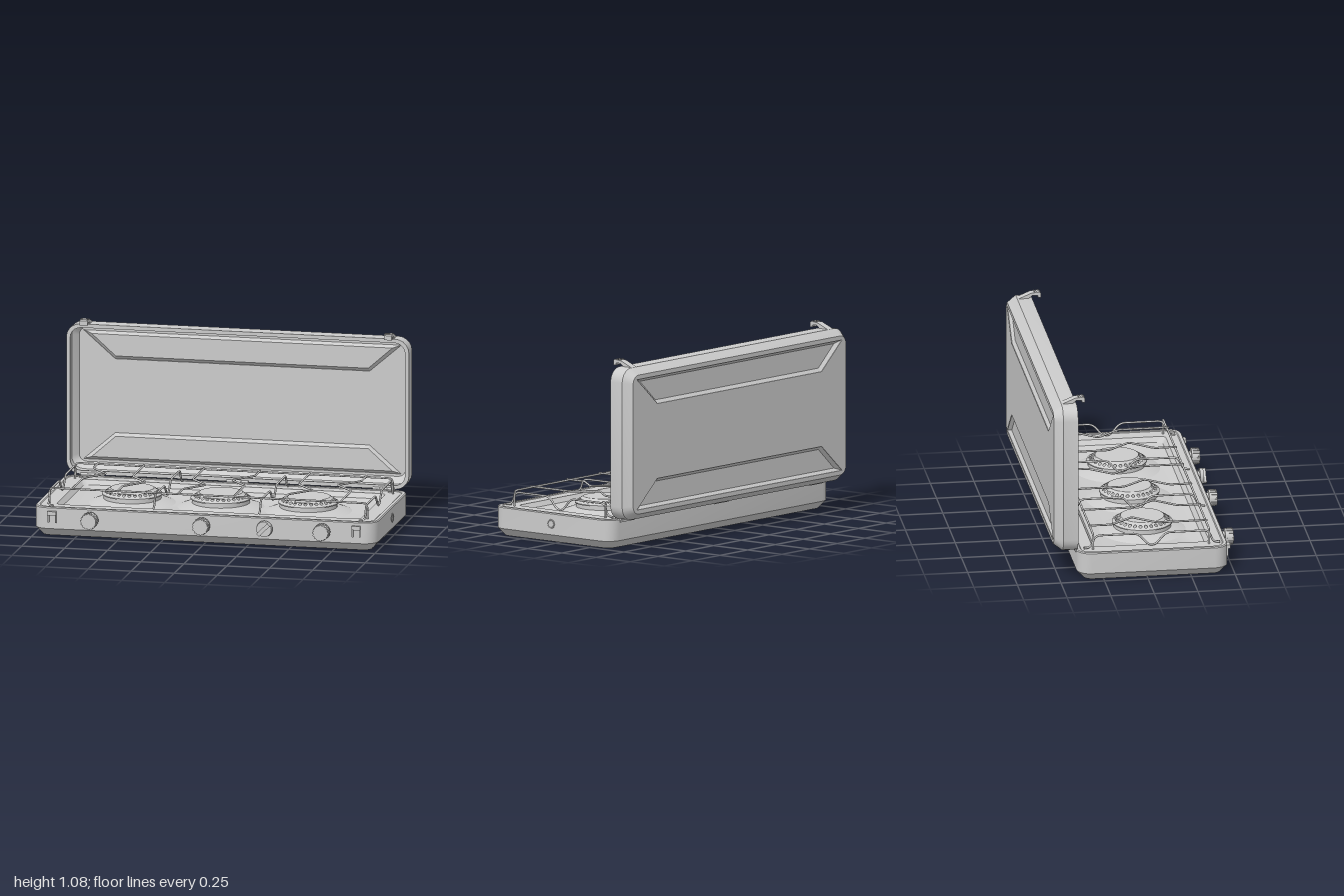
import * as THREE from 'three';
import { toCreasedNormals } from 'three/addons/utils/BufferGeometryUtils.js';

const V = (x, y, z) => new THREE.Vector3(x, y, z);
const metal = new THREE.MeshStandardMaterial({ color: 0xcccccc });
const sheet = new THREE.MeshStandardMaterial({ color: 0xcccccc, side: THREE.DoubleSide });

function add(parent, name, geometry, x = 0, y = 0, z = 0, material = metal) {
  const mesh = new THREE.Mesh(geometry, material);
  mesh.name = name;
  mesh.position.set(x, y, z);
  parent.add(mesh);
  return mesh;
}

// Outline of a rounded rectangle, as [a, b] pairs
function roundRect(hw, hd, r, steps = 5) {
  const pts = [];
  [[1, 1], [-1, 1], [-1, -1], [1, -1]].forEach(([sx, sz], q) => {
    for (let i = 0; i <= steps; i++) {
      const a = (q + i / steps) * Math.PI / 2;
      pts.push([sx * (hw - r) + r * Math.cos(a), sz * (hd - r) + r * Math.sin(a)]);
    }
  });
  return pts;
}

// Skin over stacked loops of points, with optional end caps
function loft(loops, capStart, capEnd, crease = 0.5) {
  const pos = [], tri = (...p) => p.forEach(v => pos.push(v.x, v.y, v.z));
  const n = loops[0].length;
  for (let i = 0; i < loops.length - 1; i++) {
    for (let j = 0; j < n; j++) {
      const k = (j + 1) % n, [A, B] = [loops[i], loops[i + 1]];
      tri(A[j], B[j], A[k]);
      tri(A[k], B[j], B[k]);
    }
  }
  const cap = (loop, flip) => {
    const c = loop.reduce((s, p) => s.add(p), V(0, 0, 0)).divideScalar(n);
    loop.forEach((p, j) => {
      const q = loop[(j + 1) % n];
      flip ? tri(c, q, p) : tri(c, p, q);
    });
  };
  if (capStart) cap(loops[0], false);
  if (capEnd) cap(loops[loops.length - 1], true);
  const g = new THREE.BufferGeometry();
  g.setAttribute('position', new THREE.Float32BufferAttribute(pos, 3));
  return toCreasedNormals(g, crease);
}

// Tray of rounded rectangles: rows of [half width, half depth, corner radius, y]
const tray = (rows, ...caps) =>
  loft(rows.map(([w, d, r, y]) => roundRect(w, d, r).map(([a, b]) => V(a, y, b))), ...caps);

// Bent wire with rounded corners
function wire(points, bend = 0.02, radius = 0.006) {
  const path = new THREE.CurvePath();
  let last = points[0];
  for (let i = 1; i < points.length - 1; i++) {
    const p = points[i];
    const toward = q => p.clone().add(q.clone().sub(p).setLength(Math.min(bend, q.distanceTo(p) * 0.45)));
    const a = toward(points[i - 1]), b = toward(points[i + 1]);
    path.add(new THREE.LineCurve3(last, a));
    path.add(new THREE.QuadraticBezierCurve3(a, p, b));
    last = b;
  }
  path.add(new THREE.LineCurve3(last, points[points.length - 1]));
  return new THREE.TubeGeometry(path, 90, radius, 7);
}

const rod = (r1, r2, h, sides = 24) => new THREE.CylinderGeometry(r1, r2, h, sides).rotateX(Math.PI / 2);

function makeBase() {
  const g = new THREE.Group();
  g.name = 'base';
  // Outer case with recessed underside, rolled rim and sunken pan
  add(g, 'caseAndPan', tray([
    [0.62, 0.19, 0.01, 0.010], [0.65, 0.22, 0.02, 0], [0.957, 0.393, 0.05, 0],
    [0.997, 0.4325, 0.08, 0.045], [0.997, 0.4325, 0.08, 0.165], [0.992, 0.4275, 0.075, 0.171],
    [0.975, 0.410, 0.065, 0.171], [0.97, 0.405, 0.06, 0.167], [0.885, 0.335, 0.03, 0.167],
    [0.865, 0.315, 0.04, 0.14], [0.80, 0.255, 0.06, 0.125]], true, true), 0, 0, 0.0325, sheet);
  // Corner screws
  for (const x of [-0.9, 0.9]) for (const z of [-0.345, 0.415])
    add(g, 'screw', new THREE.CylinderGeometry(0.01, 0.012, 0.008, 10), x, 0.17, z);
  // Catches for the lid latches
  for (const x of [-0.885, 0.885]) {
    add(g, 'catchTop', new THREE.BoxGeometry(0.05, 0.022, 0.022), x, 0.137, 0.474);
    for (const s of [-1, 1])
      add(g, 'catchSide', new THREE.BoxGeometry(0.008, 0.065, 0.012), x + s * 0.021, 0.115, 0.469);
  }
  // Gas inlet on the left end
  add(g, 'gasInletRing', new THREE.TorusGeometry(0.024, 0.004, 6, 8).rotateY(Math.PI / 2), 0.997, 0.107, 0.035);
  add(g, 'gasInlet', new THREE.CylinderGeometry(0.02, 0.02, 0.006, 8).rotateZ(Math.PI / 2), 0.996, 0.107, 0.035);
  return g;
}

function makeBurner(x) {
  const g = new THREE.Group();
  g.name = 'burner';
  g.position.set(x, 0, 0.035);
  const seat = [[0.25, 0.124], [0.2, 0.142], [0.165, 0.15], [0.165, 0.172], [0.172, 0.172], [0.172, 0.178]];
  add(g, 'burnerSeat', toCreasedNormals(new THREE.LatheGeometry(
    seat.map(p => new THREE.Vector2(...p)), 40), 0.5), 0, 0, 0, sheet);
  // Perforated ring, flat shape lifted into a cone
  const ring = new THREE.Shape().absarc(0, 0, 0.172, 0, Math.PI * 2);
  ring.holes.push(new THREE.Path().absarc(0, 0, 0.126, 0, Math.PI * 2, true));
  for (let i = 0; i < 30; i++) {
    const a = i / 30 * Math.PI * 2;
    ring.holes.push(new THREE.Path().absarc(0.149 * Math.cos(a), 0.149 * Math.sin(a), 0.0085, 0, Math.PI * 2, true));
  }
  const cone = new THREE.ShapeGeometry(ring, 20).rotateX(-Math.PI / 2);
  const p = cone.attributes.position;
  for (let i = 0; i < p.count; i++)
    p.setY(i, 0.178 + (0.172 - Math.hypot(p.getX(i), p.getZ(i))) * 0.65);
  cone.computeVertexNormals();
  add(g, 'perforatedRing', cone, 0, 0, 0, sheet);
  add(g, 'burnerCap', new THREE.CylinderGeometry(0.124, 0.127, 0.006, 40), 0, 0.206, 0);
  add(g, 'burnerCore', new THREE.CylinderGeometry(0.12, 0.13, 0.07, 32), 0, 0.165, 0);
  return g;
}

function makeGrate() {
  const g = new THREE.Group();
  g.name = 'grate';
  // Long rails with legs at both ends
  for (const z of [-0.305, 0.36])
    add(g, 'rail', wire([V(-0.925, 0.168, z), V(-0.925, 0.258, z), V(0.925, 0.258, z), V(0.925, 0.168, z)]));
  // Cross bars with feet and a dip in the middle
  const half = [[0.39, 0.174], [0.35, 0.18], [0.325, 0.248], [0.08, 0.248], [0.02, 0.178]];
  const profile = [...half, ...half.map(([z, y]) => [-z, y]).reverse()];
  for (const x of [-0.922, -0.31, 0.305, 0.918])
    add(g, 'crossBar', wire(profile.map(([z, y]) => V(x, y, z + 0.033)), 0.03));
  // Pan supports, each with a sideways kink: x, kink, kink centre
  for (const [x, kink, z] of [[-0.79, 0.105, -0.05], [-0.525, 0.105, 0.11], [-0.175, 0.105, 0.11],
    [0.15, -0.105, -0.05], [0.44, 0.11, 0.11], [0.77, -0.11, -0.05]])
    add(g, 'panSupport', wire([V(x, 0.262, -0.315), V(x, 0.262, z - 0.13), V(x + kink, 0.262, z),
      V(x, 0.262, z + 0.13), V(x, 0.262, 0.37)]));
  return g;
}

function makeKnob(x, selector) {
  const g = new THREE.Group();
  g.name = selector ? 'selectorKnob' : 'knob';
  g.position.set(x, 0.11, 0.465);
  add(g, 'stem', rod(0.03, 0.03, 0.03), 0, 0, 0.01);
  if (selector) {
    add(g, 'collar', rod(0.044, 0.047, 0.02), 0, 0, 0.032);
    add(g, 'grip', new THREE.BoxGeometry(0.022, 0.088, 0.022), 0, 0, 0.049).rotation.z = -Math.PI / 4;
    return g;
  }
  add(g, 'knobBody', rod(0.043, 0.045, 0.046, 32), 0, 0, 0.046);
  add(g, 'knobFlange', rod(0.048, 0.048, 0.008, 32), 0, 0, 0.025);
  for (let i = 0; i < 16; i++) {
    const a = i / 16 * Math.PI * 2;
    add(g, 'knobRib', new THREE.BoxGeometry(0.007, 0.009, 0.038), 0.044 * Math.cos(a), 0.044 * Math.sin(a), 0.047)
      .rotation.z = a;
  }
  return g;
}

function makeLid() {
  const g = new THREE.Group();
  g.name = 'lid';
  g.position.set(0, 0.61, -0.535);
  // Walls with a bevelled back edge and rolled rim
  add(g, 'lidWall', tray([
    [0.96, 0.40, 0.05, 0], [0.997, 0.437, 0.08, 0.05], [0.997, 0.437, 0.08, 0.135], [0.975, 0.415, 0.062, 0.135],
    [0.975, 0.415, 0.062, 0.125], [0.983, 0.423, 0.07, 0.12], [0.983, 0.423, 0.07, 0.055],
    [0.95, 0.39, 0.045, 0.008]]).rotateX(Math.PI / 2), 0, 0, 0, sheet);
  // Back panel with two pressed trapezoid panels
  const panel = new THREE.Shape(roundRect(0.96, 0.40, 0.05).map(p => new THREE.Vector2(...p)));
  const trapezoid = (s, wo, yo, wi, yi) => [[-wo, yo * s], [wo, yo * s], [wi, yi * s], [-wi, yi * s]];
  for (const s of [1, -1]) {
    const outer = trapezoid(s, 0.925, 0.375, 0.74, 0.215);
    const inner = trapezoid(s, 0.875, 0.358, 0.735, 0.234);
    panel.holes.push(new THREE.Path(outer.map(p => new THREE.Vector2(...p))));
    add(g, 'pressedPanel', loft([outer.map(([x, y]) => V(x, y, 0.003)), inner.map(([x, y]) => V(x, y, 0.02))],
      false, true, 0.2), 0, 0, 0, sheet);
  }
  add(g, 'lidPanel', new THREE.ExtrudeGeometry(panel, { depth: 0.008, bevelEnabled: false }));
  // Hooked latches on the top edge
  const hook = new THREE.Shape([[-0.485, 1.035], [-0.482, 1.046], [-0.405, 1.078], [-0.358, 1.082], [-0.35, 1.076],
    [-0.35, 1.05], [-0.366, 1.05], [-0.368, 1.063], [-0.4, 1.063], [-0.42, 1.046], [-0.42, 1.035]]
    .map(p => new THREE.Vector2(...p)));
  const hookGeometry = new THREE.ExtrudeGeometry(hook, { depth: 0.046, bevelEnabled: false })
    .translate(0, 0, -0.023).rotateY(-Math.PI / 2);
  for (const x of [-0.885, 0.885]) {
    add(g, 'latch', hookGeometry, x, -0.61, 0.535);
    for (const z of [0.15, 0.162, 0.174])
      add(g, 'latchRib', new THREE.BoxGeometry(0.046, 0.006, 0.005), x, 0.471, z);
  }
  return g;
}

function makeHinge(x) {
  const g = new THREE.Group();
  g.name = 'hinge';
  g.position.set(x, 0.172, -0.402);
  for (let i = -1; i <= 1; i++)
    add(g, 'knuckle', new THREE.CylinderGeometry(0.011, 0.011, 0.04, 12).rotateZ(Math.PI / 2), i * 0.043, 0, 0);
  add(g, 'hingePlate', new THREE.BoxGeometry(0.126, 0.022, 0.008), 0, -0.011, 0);
  return g;
}

export function createModel() {
  const model = new THREE.Group();
  model.name = 'campStove';
  model.add(makeBase(), makeLid(), makeGrate());
  for (const x of [-0.515, 0, 0.51]) model.add(makeBurner(x));
  for (const x of [-0.66, -0.01, 0.69]) model.add(makeKnob(x, false));
  model.add(makeKnob(0.355, true));
  for (const x of [-0.85, 0, 0.85]) model.add(makeHinge(x));
  return model;
}
